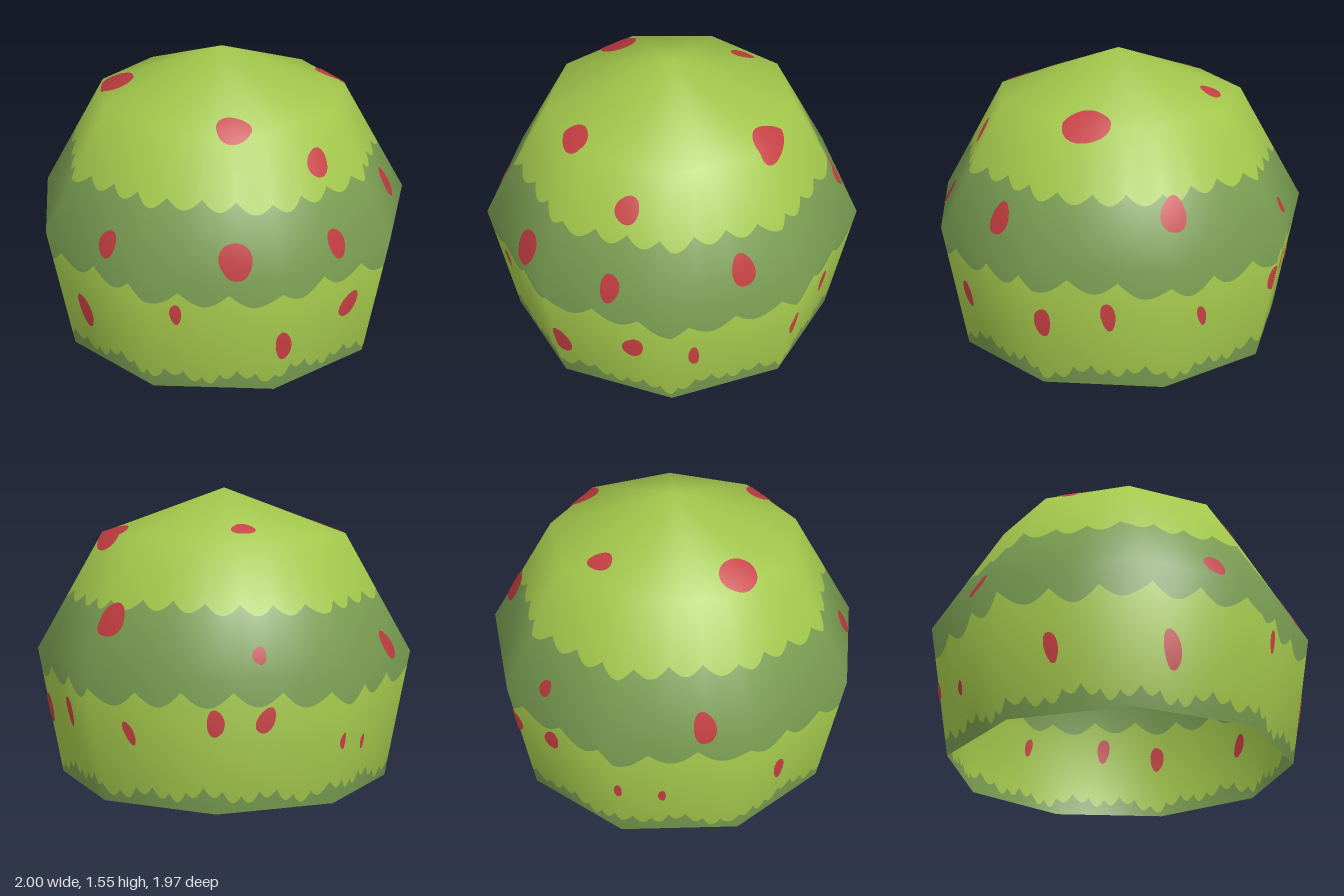
import * as THREE from 'three';

const SIDES = 9, STEP = (Math.PI * 2) / SIDES, CENTER_Z = 0.03, SEG = 0.705;
// Profile rings of the nine-sided shell: corner radius, height, and smooth normal (outward, up)
const RINGS = [
  { r: 0.893, y: 0, n: [0.985, -0.17] },
  { r: 1.015, y: 0.69, n: [0.985, 0.17] },
  { r: 0.66, y: 1.31, n: [0.643, 0.766] },
  { r: 0, y: 1.546, n: [0, 1] },
];
const lerp = THREE.MathUtils.lerp;

// Point and normal on the shell; phi is measured from the front, t runs 0..3 up the rings
function shellPoint(phi, t, offset = 0) {
  t = Math.min(Math.max(t, 0), 3);
  const k = Math.min(Math.floor(t), 2), f = t - k, a = RINGS[k], b = RINGS[k + 1];
  const d = phi - Math.round(phi / STEP) * STEP;
  const r = lerp(a.r, b.r, f) * Math.cos(STEP / 2) / Math.cos(d);
  const out = lerp(a.n[0], b.n[0], f);
  const normal = new THREE.Vector3(out * Math.sin(phi), lerp(a.n[1], b.n[1], f), out * Math.cos(phi)).normalize();
  const point = new THREE.Vector3(r * Math.sin(phi), lerp(a.y, b.y, f), r * Math.cos(phi) + CENTER_Z);
  return { point: point.addScaledVector(normal, offset), normal, r };
}

// Grid surface from a rule (i, j) -> shell point
function gridGeometry(cols, rows, rule) {
  const pos = [], nor = [], idx = [];
  for (let j = 0; j <= rows; j++) {
    for (let i = 0; i <= cols; i++) {
      const s = rule(i, j);
      pos.push(...s.point.toArray());
      nor.push(...s.normal.toArray());
      if (i < cols && j < rows) {
        const a = j * (cols + 1) + i, b = a + 1, c = a + cols + 1, d = c + 1;
        idx.push(a, b, d, a, d, c);
      }
    }
  }
  const g = new THREE.BufferGeometry();
  g.setAttribute('position', new THREE.Float32BufferAttribute(pos, 3));
  g.setAttribute('normal', new THREE.Float32BufferAttribute(nor, 3));
  g.setIndex(idx);
  return g;
}

// Band edges: ragged at the base, scalloped higher up
const heightToT = (y) => (y < 0.69 ? y / 0.69 : 1 + (y - 0.69) / 0.62);
const scallop = (p, n) => Math.abs(Math.sin((p * n) / 2));
const baseEdge = (p) => heightToT(0.055 + 0.045 * (1 - scallop(p, 60)) + 0.02 * Math.sin(p * 17) + 0.015 * Math.sin(p * 7));
const lowerEdge = (p) => heightToT(0.605 - 0.075 * scallop(p, 24) + 0.015 * Math.sin(p * 5 + 1));
const upperEdge = (p) => heightToT(1.015 - 0.05 * scallop(p, 30) + 0.01 * Math.sin(p * 4));
const level = (t) => () => t;

// Spots: angle in degrees, t, half width, half height, lean
const SPOTS = [
  // cap
  [-48, 2.12, 0.105, 0.105, 0], [48, 2.03, 0.085, 0.085, 0],
  [151, 2.0, 0.115, 0.105, 0], [-127, 2.18, 0.062, 0.062, 0],
  // shoulder and middle band
  [83, 1.69, 0.06, 0.075, -0.3], [5.6, 1.12, 0.055, 0.07, 0],
  [47, 1.12, 0.08, 0.092, 0], [80.6, 1.12, 0.05, 0.075, 0],
  [-73, 1.1, 0.055, 0.08, 0], [123.5, 1.23, 0.06, 0.085, 0],
  [-177, 1.37, 0.07, 0.09, 0], [-127, 1.15, 0.035, 0.045, 0],
  // lower band
  [29, 0.68, 0.028, 0.062, 0], [-45, 0.457, 0.034, 0.078, 0.15],
  [-8.4, 0.42, 0.045, 0.1, 0.15], [62, 0.4, 0.045, 0.092, 0.2],
  [87.5, 0.55, 0.053, 0.078, -0.4], [107, 0.5, 0.028, 0.076, 0.1],
  [142, 0.535, 0.038, 0.082, 0], [162, 0.6, 0.036, 0.082, 0.1],
  [-168, 0.55, 0.025, 0.065, 0.35], [-140, 0.68, 0.043, 0.07, 0],
  [-125, 0.68, 0.045, 0.07, -0.4], [-99.5, 0.48, 0.02, 0.045, 0],
  [-86, 0.41, 0.02, 0.04, 0],
];

export function createModel() {
  const material = (name, color) => {
    const m = new THREE.MeshStandardMaterial({ color, side: THREE.DoubleSide });
    m.name = name;
    return m;
  };
  const lightGreen = material('lightGreen', 0xa2c64b);
  const darkGreen = material('darkGreen', 0x7a9e52);
  const red = material('red', 0xc43e41);

  const model = new THREE.Group();
  model.name = 'spottedDome';
  const add = (parent, name, geometry, mat) => {
    const mesh = new THREE.Mesh(geometry, mat);
    mesh.name = name;
    parent.add(mesh);
  };

  // Open shell, split into coloured bands
  const COLS = 360;
  const band = (name, mat, edges) =>
    add(model, name, gridGeometry(COLS, edges.length - 1, (i, j) => {
      const phi = (i / COLS) * Math.PI * 2;
      return shellPoint(phi, edges[j](phi));
    }), mat);
  band('baseFringe', darkGreen, [level(0), baseEdge]);
  band('lowerBand', lightGreen, [baseEdge, lowerEdge]);
  band('middleBand', darkGreen, [lowerEdge, level(1), upperEdge]);
  band('cap', lightGreen, [upperEdge, level(2), level(3)]);

  // Thin red spots on the outer and inner faces
  const spots = new THREE.Group();
  spots.name = 'spots';
  model.add(spots);
  SPOTS.forEach(([deg, t, w, h, lean], n) => {
    const phi = THREE.MathUtils.degToRad(deg), r = shellPoint(phi, t).r;
    for (const [name, offset] of [['outerSpot', 0.006], ['innerSpot', -0.004]]) {
      add(spots, name, gridGeometry(24, 6, (i, j) => {
        const a = (-i / 24) * Math.PI * 2;
        const q = (j / 6) * (1 + 0.05 * Math.sin(3 * a + n));
        const x = q * w * Math.cos(a), y = q * h * Math.sin(a);
        const dx = x * Math.cos(lean) - y * Math.sin(lean);
        const dy = x * Math.sin(lean) + y * Math.cos(lean);
        return shellPoint(phi + dx / r, t + dy / SEG, offset);
      }), red);
    }
  });
  return model;
}
